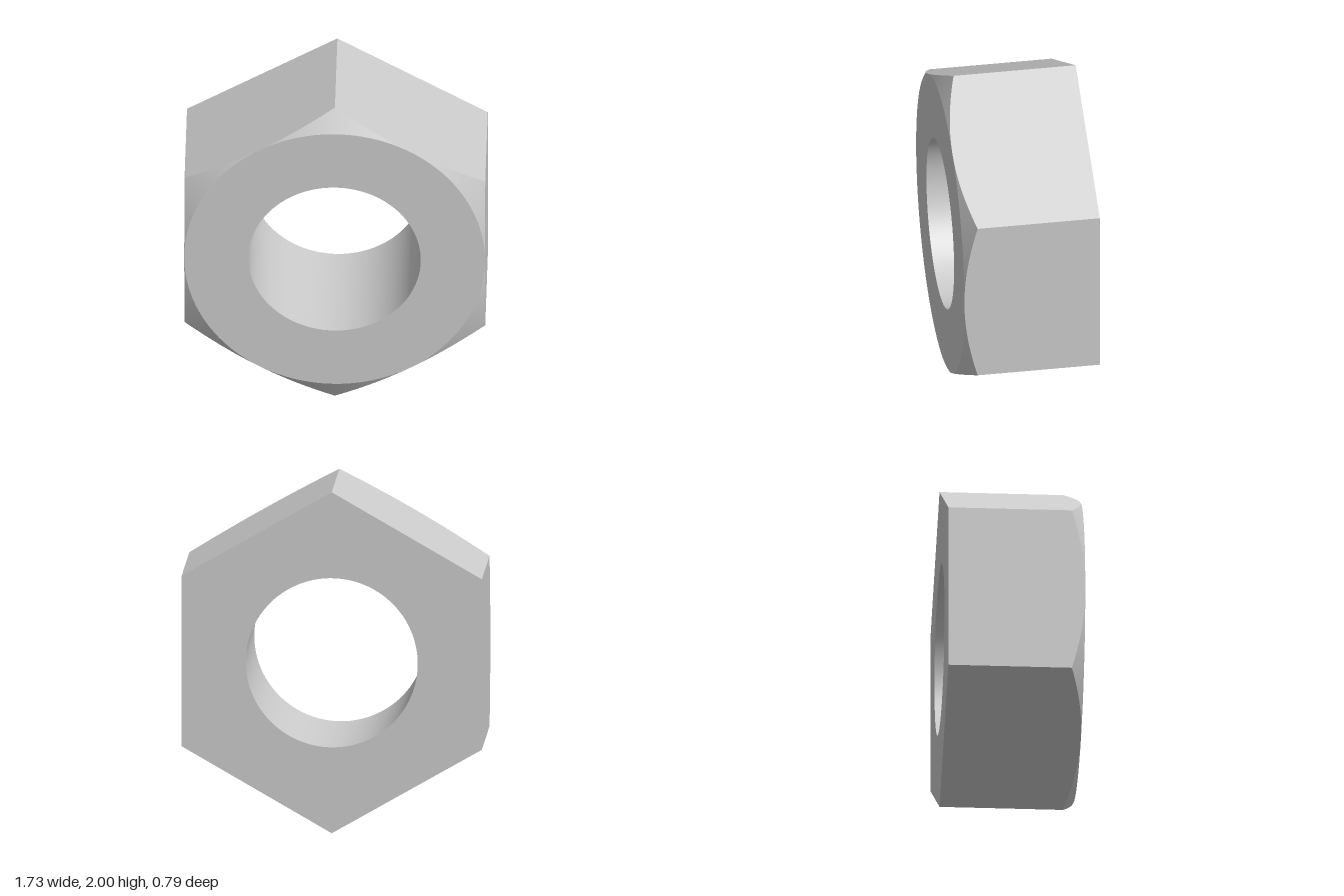
import * as THREE from 'three';

const SEG = 144;                       // steps round the nut, a multiple of 12
const HALF = 0.395;                    // half thickness
const APOTHEM = Math.sqrt(3) / 2;      // hexagon with corner radius 1
const BORE = 0.496;
const SLOPE = Math.PI / 6;             // chamfer angle
const SIDE = Math.PI / 3;

const material = new THREE.MeshStandardMaterial({ color: 0xcccccc });

// Angle of the middle of the hexagon side that contains t
const sideAngle = (t) => Math.round(t / SIDE) * SIDE;
const hexRadius = (t) => APOTHEM / Math.cos(t - sideAngle(t));

// Closed outlines: angle -> [radius, z]
const hexBack = (t) => [hexRadius(t), -HALF];
const hexFront = (t) => [hexRadius(t), HALF - (hexRadius(t) - APOTHEM) * Math.tan(SLOPE)];
const circleFront = () => [APOTHEM, HALF];
const boreFront = () => [BORE, HALF];
const boreBack = () => [BORE, -HALF];

// Surface between two outlines; normalAt(t, middle of the step) gives its normal
function band(name, from, to, normalAt) {
  const positions = [], normals = [];
  const step = (2 * Math.PI) / SEG;
  for (let i = 0; i < SEG; i++) {
    const a = i * step, b = (i + 1) * step, mid = (i + 0.5) * step;
    for (const [ring, t] of [[from, a], [from, b], [to, b], [from, a], [to, b], [to, a]]) {
      const [r, z] = ring(t);
      positions.push(r * Math.cos(t), r * Math.sin(t), z);
      normals.push(...normalAt(t, mid));
    }
  }
  const geometry = new THREE.BufferGeometry();
  geometry.setAttribute('position', new THREE.Float32BufferAttribute(positions, 3));
  geometry.setAttribute('normal', new THREE.Float32BufferAttribute(normals, 3));
  const mesh = new THREE.Mesh(geometry, material);
  mesh.name = name;
  return mesh;
}

export function createModel() {
  const nut = new THREE.Group();
  nut.name = 'hexNut';
  const radial = (t, r, z) => [r * Math.cos(t), r * Math.sin(t), z];

  nut.add(
    // Six flat sides, cut by the cone at the front
    band('hexSides', hexBack, hexFront, (t, mid) => radial(sideAngle(mid), 1, 0)),
    // Conical chamfer on the front corners
    band('frontChamfer', hexFront, circleFront, (t) => radial(t, Math.sin(SLOPE), Math.cos(SLOPE))),
    band('frontFace', circleFront, boreFront, () => [0, 0, 1]),
    // Smooth round hole
    band('bore', boreFront, boreBack, (t) => radial(t, -1, 0)),
    band('backFace', boreBack, hexBack, () => [0, 0, -1]),
  );
  nut.position.y = 1;

  const model = new THREE.Group();
  model.add(nut);
  return model;
}
